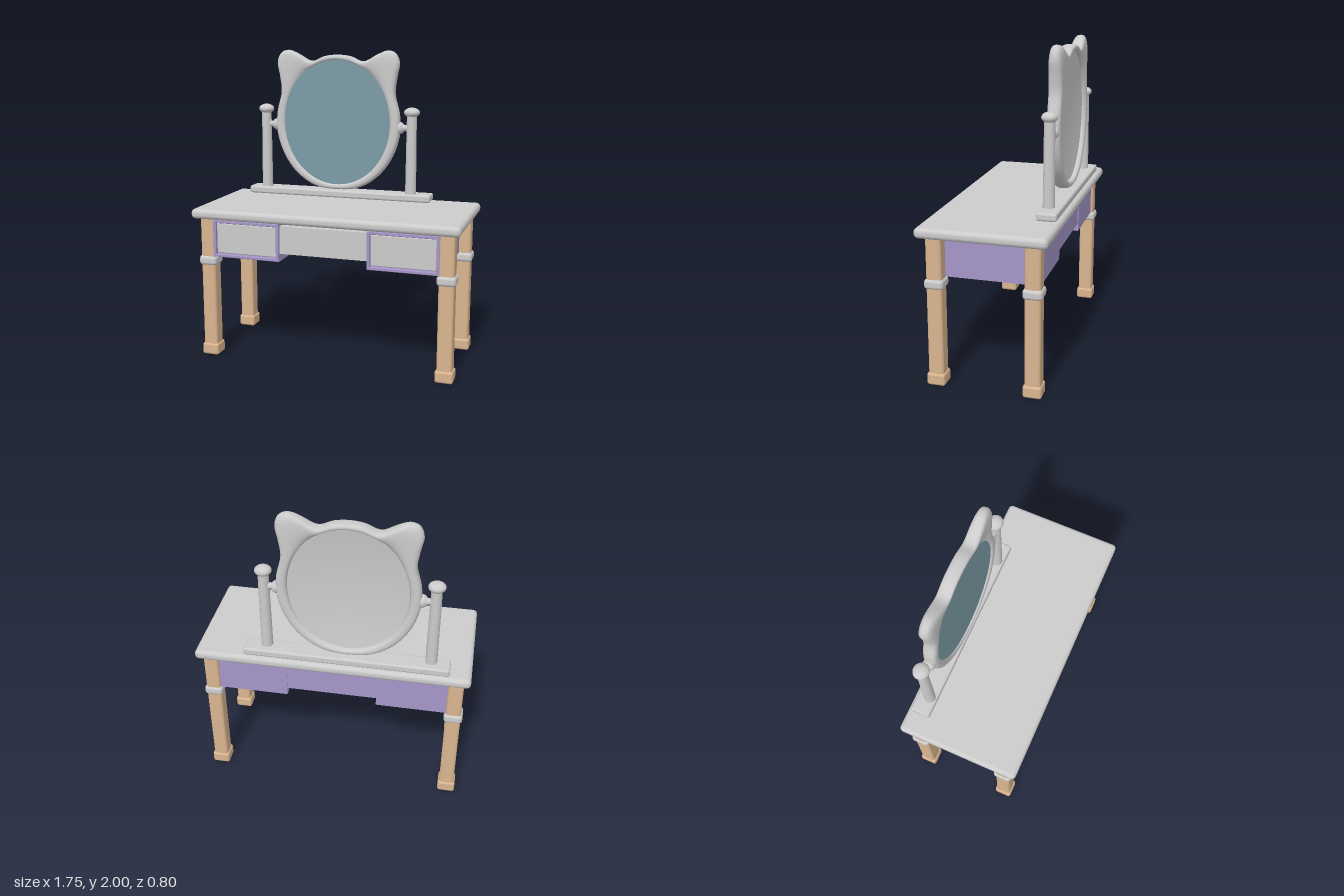
import * as THREE from 'three';
import { RoundedBoxGeometry } from 'three/addons/geometries/RoundedBoxGeometry.js';

const mat = (color) => new THREE.MeshStandardMaterial({ color });
const grey = mat(0xcccccc), wood = mat(0xd9b48f), purple = mat(0xa596c8), glass = mat(0x7d9ca6);
const greyBoth = new THREE.MeshStandardMaterial({ color: 0xcccccc, side: THREE.DoubleSide });

function add(parent, name, geometry, material, x = 0, y = 0, z = 0) {
  const mesh = new THREE.Mesh(geometry, material);
  mesh.name = name;
  mesh.position.set(x, y, z);
  parent.add(mesh);
  return mesh;
}

// Box given by its limits on each axis; r rounds the edges.
function box(parent, name, material, [x0, x1], [y0, y1], [z0, z1], r = 0) {
  const size = [x1 - x0, y1 - y0, z1 - z0];
  const geometry = r ? new RoundedBoxGeometry(...size, 3, r) : new THREE.BoxGeometry(...size);
  return add(parent, name, geometry, material, (x0 + x1) / 2, (y0 + y1) / 2, (z0 + z1) / 2);
}

function makeLeg(x, z) {
  const leg = new THREE.Group();
  leg.name = 'leg';
  const block = (name, m, w, y0, y1, r) => box(leg, name, m, [-w / 2, w / 2], [y0, y1], [-w / 2, w / 2], r);
  block('legPost', wood, 0.097, 0.03, 0.95, 0.018);
  block('legFoot', wood, 0.115, 0, 0.078, 0.016);
  block('legCollar', grey, 0.12, 0.618, 0.682, 0.022);
  leg.position.set(x, 0, z);
  return leg;
}

// Purple case with a thin raised rim around a grey drawer front.
function makeDrawer(side) {
  const drawer = new THREE.Group();
  drawer.name = 'sideDrawer';
  const xs = (a, b) => (side > 0 ? [a, b] : [-b, -a]);
  box(drawer, 'drawerCase', purple, xs(0.29, 0.76), [0.68, 0.935], [-0.335, 0.315]);
  const [x0, x1] = xs(0.29, 0.745);
  const rect = (path, d) => {
    path.moveTo(x0 + d, 0.68 + d);
    path.lineTo(x1 - d, 0.68 + d);
    path.lineTo(x1 - d, 0.925 - d);
    path.lineTo(x0 + d, 0.925 - d);
    path.closePath();
    return path;
  };
  const rim = rect(new THREE.Shape(), 0.003);
  rim.holes.push(rect(new THREE.Path(), 0.017));
  add(drawer, 'drawerRim', new THREE.ExtrudeGeometry(rim, {
    depth: 0.022, bevelThickness: 0.003, bevelSize: 0.003, bevelSegments: 1,
  }), purple, 0, 0, 0.315);
  box(drawer, 'drawerFront', grey, [x0 + 0.022, x1 - 0.022], [0.705, 0.903], [0.3, 0.328], 0.006);
  return drawer;
}

// Mirror ring: a rounded section swept between an inner ellipse and an eared outline.
const RX = 0.367, RY = 0.418;
function frameGeometry() {
  const half = [[0, -0.458], [0.16, -0.438], [0.29, -0.355], [0.385, -0.225], [0.435, -0.065],
    [0.432, 0.065], [0.4, 0.205], [0.412, 0.31], [0.428, 0.41], [0.4, 0.47], [0.345, 0.485],
    [0.285, 0.463], [0.18, 0.412], [0.09, 0.445], [0, 0.455]];
  const left = half.slice(1, -1).reverse().map(([x, y]) => [-x, y]);
  const outline = new THREE.CatmullRomCurve3(
    [...half, ...left].map(([x, y]) => new THREE.Vector3(x, y, 0)), true, 'centripetal');
  const N = 140, M = 20, position = [], index = [];
  for (let i = 0; i < N; i++) {
    const p = outline.getPointAt(i / N);
    const k = 1 / Math.hypot(p.x / RX, p.y / RY);
    for (let j = 0; j < M; j++) {
      const a = (j / M) * Math.PI * 2, c = Math.cos(a), s = Math.sin(a);
      const t = 0.5 + 0.5 * Math.sign(c) * Math.abs(c) ** 0.75;
      const f = k + (1 - k) * t;
      position.push(p.x * f, p.y * f, 0.043 * Math.sign(s) * Math.abs(s) ** 0.75);
      const i2 = (i + 1) % N, j2 = (j + 1) % M;
      const q = [i * M + j, i2 * M + j, i2 * M + j2, i * M + j2];
      index.push(q[0], q[1], q[2], q[0], q[2], q[3]);
    }
  }
  const geometry = new THREE.BufferGeometry();
  geometry.setAttribute('position', new THREE.Float32BufferAttribute(position, 3));
  geometry.setIndex(index);
  geometry.computeVertexNormals();
  return geometry;
}

function makeMirror() {
  const mirror = new THREE.Group();
  mirror.name = 'mirror';
  add(mirror, 'mirrorFrame', frameGeometry(), grey);
  add(mirror, 'mirrorGlass', new THREE.CircleGeometry(1, 64).scale(RX + 0.01, RY + 0.01, 1), glass, 0, 0, 0.03);
  // Shallow hollow back
  const profile = [];
  for (let i = 0; i <= 10; i++) profile.push(new THREE.Vector2(i / 10, 0.032 * (1 - (i / 10) ** 2)));
  const back = new THREE.LatheGeometry(profile, 64).rotateX(Math.PI / 2).scale(RX + 0.008, RY + 0.008, 1);
  add(mirror, 'mirrorBack', back, greyBoth, 0, 0, -0.014);
  mirror.position.set(-0.1, 1.513, -0.295);
  return mirror;
}

function makeStand() {
  const stand = new THREE.Group();
  stand.name = 'mirrorStand';
  box(stand, 'standBase', grey, [-0.74, 0.555], [1.0, 1.05], [-0.375, -0.248], 0.014);
  for (const side of [-1, 1]) {
    const x = -0.1025 + side * 0.5175, z = -0.295;
    add(stand, 'standPost', new THREE.CylinderGeometry(0.033, 0.037, 0.56, 20), grey, x, 1.315, z);
    add(stand, 'postCap', new THREE.SphereGeometry(1, 24, 14).scale(0.053, 0.033, 0.05), grey, x, 1.595, z);
    // Pivot knob joining the post and the frame
    const knob = [[0, 0], [0.022, 0], [0.02, 0.04], [0.033, 0.05], [0.041, 0.066], [0.036, 0.084], [0.02, 0.1], [0, 0.1]]
      .map(([r, h]) => new THREE.Vector2(r, h));
    add(stand, 'pivotKnob', new THREE.LatheGeometry(knob, 20).rotateZ(side * Math.PI / 2), grey,
      x - side * 0.01, 1.49, z);
  }
  return stand;
}

export function createModel() {
  const model = new THREE.Group();
  model.name = 'dressingTable';
  box(model, 'tableTop', grey, [-0.875, 0.875], [0.935, 1.0], [-0.398, 0.398], 0.028);
  for (const x of [-0.787, 0.787]) for (const z of [-0.304, 0.293]) model.add(makeLeg(x, z));
  for (const side of [-1, 1]) model.add(makeDrawer(side));
  // Shallower middle drawer, open above
  box(model, 'middleDrawer', grey, [-0.295, 0.295], [0.73, 0.91], [-0.315, 0.32]);
  box(model, 'middleBackPanel', purple, [-0.295, 0.295], [0.73, 0.91], [-0.33, -0.314]);
  model.add(makeStand(), makeMirror());
  return model;
}
